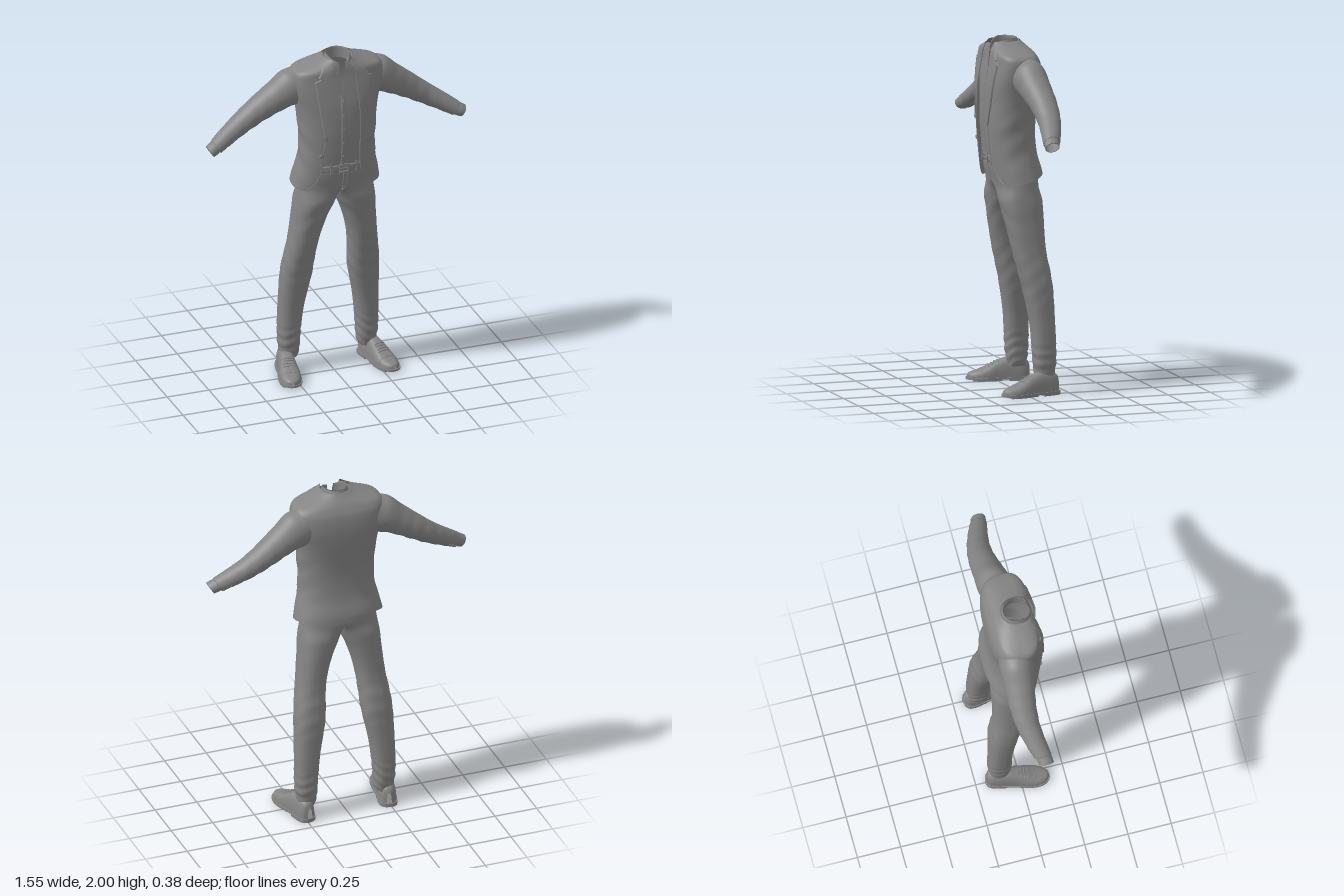
import * as THREE from 'three';

const MAT = new THREE.MeshStandardMaterial({ color: 0x858585, side: THREE.DoubleSide });
const { sin, cos, abs, sign, pow, PI, min, max, asin } = Math;
const lerp = THREE.MathUtils.lerp, smooth = THREE.MathUtils.smoothstep;
const bump = (y, c, r) => max(0, 1 - ((y - c) / r) ** 2);

// Smooth lookup in a table whose first column increases
function look(rows, y) {
  const n = rows.length;
  y = min(max(y, rows[0][0]), rows[n - 1][0]);
  let i = 0;
  while (i < n - 2 && y > rows[i + 1][0]) i++;
  const h = rows[i + 1][0] - rows[i][0], t = (y - rows[i][0]) / h;
  const slope = (j, k) => {
    const a = rows[max(j - 1, 0)], b = rows[min(j + 1, n - 1)];
    return (b[k] - a[k]) / (b[0] - a[0]);
  };
  return rows[i].map((p, k) => k === 0 ? y :
    p * (1 + 2 * t) * (1 - t) ** 2 + rows[i + 1][k] * t * t * (3 - 2 * t) +
    h * (slope(i, k) * t * (1 - t) ** 2 - slope(i + 1, k) * t * t * (1 - t)));
}

function add(parent, name, geometry) {
  const m = new THREE.Mesh(geometry, MAT);
  m.name = name;
  parent.add(m);
  return m;
}

// Surface from f(u, v) -> [x, y, z]; wrap joins u = 1 to u = 0
function sheet(parent, name, nu, nv, f, wrap = false) {
  const pos = [], idx = [], cols = wrap ? nu : nu + 1;
  for (let j = 0; j <= nv; j++) for (let i = 0; i < cols; i++) pos.push(...f(i / nu, j / nv));
  for (let j = 0; j < nv; j++) for (let i = 0; i < nu; i++) {
    const a = j * cols + i, b = j * cols + (i + 1) % cols;
    idx.push(a, b, a + cols, b, b + cols, a + cols);
  }
  const g = new THREE.BufferGeometry();
  g.setAttribute('position', new THREE.Float32BufferAttribute(pos, 3));
  g.setIndex(idx);
  g.computeVertexNormals();
  return add(parent, name, g);
}

const tube = (parent, name, pts, r, n = 40) => add(parent, name,
  new THREE.TubeGeometry(new THREE.CatmullRomCurve3(pts.map(p => new THREE.Vector3(...p))), n, r, 6));

// Rounded cross-section; angle 0 is the front, PI/2 is +x, lower p is boxier
const P = 0.82, se = (v, p) => sign(v) * pow(abs(v), p);
const ring = (w, zf, zb, a, p = P) => [w * se(sin(a), p), (zf + zb) / 2 + (zf - zb) / 2 * se(cos(a), p)];
// Half depth, as a share, at x across a section of half width w
const across = (x, w, p) => pow(max(0, 1 - pow(min(1, abs(x) / w), 2 / p)), p / 2);

// Torso: height, half width, front z, back z
const TORSO = [[1.15, .268, .135, -.15], [1.25, .248, .155, -.146], [1.35, .225, .17, -.12], [1.45, .217, .18, -.11],
  [1.55, .222, .185, -.112], [1.7, .237, .18, -.128], [1.8, .258, .166, -.13], [1.88, .266, .153, -.118],
  [1.92, .247, .149, -.098], [1.945, .185, .145, -.08], [1.965, .13, .14, -.06], [1.985, .085, .135, -.042]];
// The chest grows boxier toward the shoulders, then round at the neck
const boxy = y => P - .17 * smooth(y, 1.62, 1.82) * (1 - smooth(y, 1.92, 1.97));
function frontZ(x, y, inset = 0) {
  const [, w, zf, zb] = look(TORSO, y);
  return (zf + zb) / 2 + ((zf - zb) / 2 - inset) * across(x, w - inset, boxy(y));
}

// Front opening of the jacket: height, distance from the middle
const EDGE = {
  1: [[1.17, .225], [1.19, .19], [1.22, .15], [1.28, .113], [1.35, .095], [1.45, .09], [1.6, .095], [1.75, .085], [1.9, .072], [1.985, .055]],
  [-1]: [[1.17, .235], [1.19, .205], [1.23, .165], [1.3, .135], [1.4, .128], [1.6, .1], [1.75, .09], [1.9, .078], [1.985, .055]],
};
const edge = (s, y) => look(EDGE[s], y)[1];

// Open-fronted garment wrapped round the torso
function garment(parent, name, open, hem, top, inset) {
  return sheet(parent, name, 96, 70, (u, v) => {
    const y = lerp(hem(u), top, 1 - pow(1 - v, 1.5)), p = boxy(y);
    const [, w, zf, zb] = look(TORSO, y), W = w - inset;
    const start = s => asin(min(1, pow(open(s, y) / W, 1 / p)));
    const a = lerp(start(1), 2 * PI - start(-1), u);
    const fold = .0025 * sin(y * 45 + 5 * cos(a)) * bump(y, 1.45, .22) * abs(sin(a));
    const [x, z] = ring(W + fold, zf - inset, zb + inset, a, p);
    return [x, y, z];
  });
}

function buildJacket(g) {
  garment(g, 'jacketBody', edge, u => 1.187 + .03 * (1 - cos(2 * PI * u)), 1.985, 0);
  for (const s of [1, -1]) {
    // Rolled front edge
    const pts = [];
    for (let i = 0; i <= 26; i++) {
      const y = lerp(1.195, 1.965, i / 26), x = s * edge(s, y);
      pts.push([x, y, frontZ(x, y) - .001]);
    }
    tube(g, 'jacketFrontEdge', pts, .004, 80);
    // Notched lapel, raised slightly off the chest
    const outer = y => y > 1.893 ? lerp(.152, .112, (y - 1.893) / .07)
      : y > 1.875 ? lerp(.172, .125, (y - 1.875) / .018)
      : lerp(edge(s, 1.5), .172, pow((y - 1.5) / .375, .85));
    sheet(g, 'lapel', 10, 90, (u, v) => {
      const y = lerp(1.5, 1.96, v), k = min(1, u / .9);
      const x = s * lerp(edge(s, y) - .004, outer(y), k);
      const lift = u > .95 ? -.004 : .008 * smooth(v, 0, .1) * (1 - .6 * smooth(v, .8, 1));
      return [x, y, frontZ(x, y) + lift];
    });
    // Sleeve: x, y, z, half height, half depth
    const ARM = [[.19, 1.822, -.013, .106, .09], [.25, 1.798, -.014, .111, .097], [.33, 1.755, -.02, .09, .089], [.45, 1.68, -.03, .072, .076],
      [.55, 1.615, -.025, .06, .066], [.65, 1.555, -.002, .05, .057], [.715, 1.515, .018, .044, .05]];
    const CUFF = [[.69, 1.532, .01, .038, .044], [.73, 1.509, .023, .038, .044], [.756, 1.495, .028, .036, .042]];
    const limb = (name, rows, folds, nv) => sheet(g, name, 32, nv, (u, v) => {
      const inner = v > .97, x0 = lerp(rows[0][0], rows[rows.length - 1][0], min(1, v / .97));
      const [x, y, z, ry, rz] = look(rows, x0), a = 2 * PI * u;
      const amp = folds * (bump(x, .5, .14) + .6 * bump(x, .66, .08) + .5 * bump(x, .35, .08));
      const k = (inner ? .88 : 1) + amp * sin(x * 85 + 3 * sin(a) + 2 * cos(2 * a)) * (.6 - .4 * sin(a));
      return [s * (x + .53 * ry * k * sin(a)), y + .85 * ry * k * sin(a), z + rz * k * cos(a)];
    }, true);
    limb('sleeve', ARM, .03, 90);
    limb('shirtCuff', CUFF, 0, 34);
    for (let i = 0; i < 3; i++) {
      const b = add(g, 'sleeveButton', new THREE.SphereGeometry(.006, 10, 8));
      b.position.set(s * (.655 + .02 * i), 1.53 - .013 * i, -.049 + .009 * i);
    }
  }
  // Turned-down collar round the back of the neck
  sheet(g, 'jacketCollar', 48, 10, (u, v) => {
    const a = lerp(.62, 2 * PI - .62, u), f = max(0, cos(a));
    const flare = max(0, v - .3) / .7;
    const y = (v < .3 ? lerp(1.955, 1.985, v / .3) : lerp(1.985, 1.953, flare)) - .035 * f;
    return [(.08 + .043 * flare) * sin(a), y, .05 + (.086 + .03 * flare) * cos(a)];
  });
  for (const [x, y] of [[-.113, 1.54], [-.137, 1.415]]) {
    const b = add(g, 'jacketButton', new THREE.CylinderGeometry(.011, .011, .008, 16));
    b.rotation.x = PI / 2;
    b.position.set(x, y, frontZ(x, y) + .004);
  }
}

function buildShirt(g) {
  garment(g, 'shirtBody', (s, y) => max(0, y - 1.77) * .1, () => 1.335, 1.965, .018);
  // Button placket
  sheet(g, 'shirtPlacket', 6, 40, (u, v) => {
    const y = lerp(1.34, 1.775, v), x = lerp(-.022, .012, u);
    return [x, y, frontZ(x, y, .018) + (u === 0 || u === 1 ? -.003 : .004)];
  });
  for (let i = 0; i < 5; i++) {
    const y = 1.4 + i * .085;
    add(g, 'shirtButton', new THREE.SphereGeometry(.005, 10, 8)).position.set(-.006, y, frontZ(0, y, .018) + .004);
  }
  // Collar band and folded leaf with hanging points
  sheet(g, 'shirtCollar', 48, 12, (u, v) => {
    const a = lerp(.3, 2 * PI - .3, u), f = pow(max(0, cos(a)), 2);
    const out = max(0, v - .5) * 2, top = 2 - .04 * f;
    const y = v < .5 ? lerp(1.93 - .03 * f, top, v * 2) : lerp(top, 1.965 - .075 * f, out);
    return [(.066 + .012 * out + .03 * f * out) * sin(a), y, .05 + (.074 + .016 * out) * cos(a)];
  });
}

function buildTrousers(g) {
  // Seat: height, half width, front z, back z
  const SEAT = [[1.08, .231, .116, -.127], [1.15, .224, .12, -.124], [1.2, .218, .128, -.125], [1.27, .21, .142, -.118], [1.35, .19, .15, -.098]];
  const LEG = [[.085, .187, .277, -.06, -.16], [.12, .175, .287, -.053, -.165], [.17, .172, .294, -.045, -.173], [.25, .167, .297, -.04, -.175],
    [.4, .15, .295, -.03, -.17], [.6, .113, .289, .005, -.163], [.7, .106, .278, .03, -.15], [.8, .097, .262, .055, -.133],
    [.9, .077, .25, .076, -.128], [1, .045, .241, .096, -.128], [1.1, .002, .232, .115, -.127], [1.2, 0, .217, .122, -.12]];
  // Each leg blends upward into its half of the seat, meeting at the middle seam
  for (const s of [1, -1]) sheet(g, 'trouserLeg', 48, 180, (u, v) => {
    const y = lerp(.085, 1.345, v), a = 2 * PI * u;
    const [, xi, xo, zf, zb] = look(LEG, y), [, W, sf, sb] = look(SEAT, y);
    const folds = .035 * bump(y, .16, .15) * sin(y * 105 + 3 * sin(a) + cos(2 * a)) + .012 * bump(y, .66, .2) * sin(y * 62 + 5 * cos(a) + sin(a))
      + .012 * bump(y, 1.02, .18) * sin(y * 45 + 5 * sin(a) + 2 * cos(a)) * (.5 + .5 * cos(a));
    const [x, z] = ring((xo - xi) / 2 * (1 + folds), (zf - zb) / 2 * (1 + folds), -(zf - zb) / 2 * (1 + folds), a);
    const hx = W * (1 + se(sin(a), P)) / 2;
    const hz = (sf + sb) / 2 + (sf - sb) / 2 * sign(cos(a)) * across(hx, W, P);
    const t = smooth(y, 1.085, 1.19);
    return [s * lerp((xi + xo) / 2 + x, hx, t), y, lerp((zf + zb) / 2 + z, hz, t)];
  }, true);
  // Belt with buckle and loops
  sheet(g, 'belt', 64, 8, (u, v) => {
    const y = lerp(1.3, 1.345, v), [, w, zf, zb] = look(SEAT, y), t = v === 0 || v === 1 ? -.002 : .007;
    const [x, z] = ring(w + t, zf + t, zb - t, 2 * PI * u);
    return [x, y, z];
  }, true);
  for (const [x, y, w, h] of [[0, 1.345, .056, .008], [0, 1.3, .056, .008], [-.026, 1.322, .007, .05], [.026, 1.322, .007, .05], [0, 1.322, .05, .006]])
    add(g, 'beltBuckle', new THREE.BoxGeometry(w, h, .01)).position.set(x, y, .155);
  for (const s of [1, -1]) add(g, 'beltLoop', new THREE.BoxGeometry(.012, .06, .008)).position.set(s * .075, 1.322, .149);
  // Fly stitching beside the middle seam
  tube(g, 'flySeam', [1.3, 1.26, 1.22, 1.19, 1.17].map((y, i) => {
    const x = .028 * (1 - (i / 4) ** 3), [, w, zf, zb] = look(SEAT, y);
    return [x, y, (zf + zb) / 2 + (zf - zb) / 2 * across(x, w, P) - .001];
  }), .0022, 20);
}

function buildShoe(parent, s) {
  const g = new THREE.Group();
  g.name = s > 0 ? 'leftShoe' : 'rightShoe';
  g.position.set(s * .272, 0, -.012);
  g.rotation.y = s * .195;
  parent.add(g);
  // Length position, half width, height
  const LAST = [[-.178, .014, .085], [-.165, .036, .112], [-.13, .048, .128], [-.06, .05, .132], [0, .054, .114], [.05, .061, .09],
    [.1, .059, .068], [.14, .047, .055], [.165, .026, .046], [.174, .007, .034]];
  sheet(g, 'shoeUpper', 24, 60, (u, v) => {
    const [z, w, h] = look(LAST, lerp(-.178, .174, .5 - .5 * cos(PI * v))), a = PI * u;
    return [w * se(cos(a), .7), .018 + (h - .018) * pow(max(0, sin(a)), .8), z];
  });
  // Flat slabs following the last
  const slab = (name, z0, z1, grow, y, depth) => {
    const pts = [];
    for (const q of [1, -1]) for (let i = 0; i <= 24; i++) {
      const z = lerp(z0, z1, (1 - q * cos(PI * i / 24)) / 2);
      pts.push(new THREE.Vector2(q * (look(LAST, z)[1] + grow), -z * 1.03));
    }
    const geo = new THREE.ExtrudeGeometry(new THREE.Shape(pts), { depth, bevelEnabled: false });
    add(g, name, geo.rotateX(-PI / 2).translate(0, y, 0));
  };
  slab('shoeSole', -.178, .174, .005, .01, .012);
  slab('shoeHeel', -.178, -.06, .005, 0, .011);
  slab('shoeForefoot', -.02, .14, .002, .002, .009);
  // Laces and toe cap seam
  const over = (z, k, lift) => {
    const [, w, h] = look(LAST, z), out = [];
    for (let i = 0; i <= 8; i++) {
      const a = lerp(PI / 2 - k, PI / 2 + k, i / 8);
      out.push([w * se(cos(a), .7), .018 + (h - .018) * pow(sin(a), .8) + lift, z]);
    }
    return out;
  };
  for (let i = 0; i < 4; i++) tube(g, 'lace', over(.002 + i * .017, .5, .001), .0035, 16);
  tube(g, 'toeCapSeam', over(.095, 1.45, 0), .002, 24);
}

export function createModel() {
  const model = new THREE.Group();
  model.name = 'suit';
  const group = (name, build) => {
    const g = new THREE.Group();
    g.name = name;
    build(g);
    model.add(g);
  };
  group('jacket', buildJacket);
  group('shirt', buildShirt);
  group('trousers', buildTrousers);
  group('shoes', g => [1, -1].forEach(s => buildShoe(g, s)));
  return model;
}
